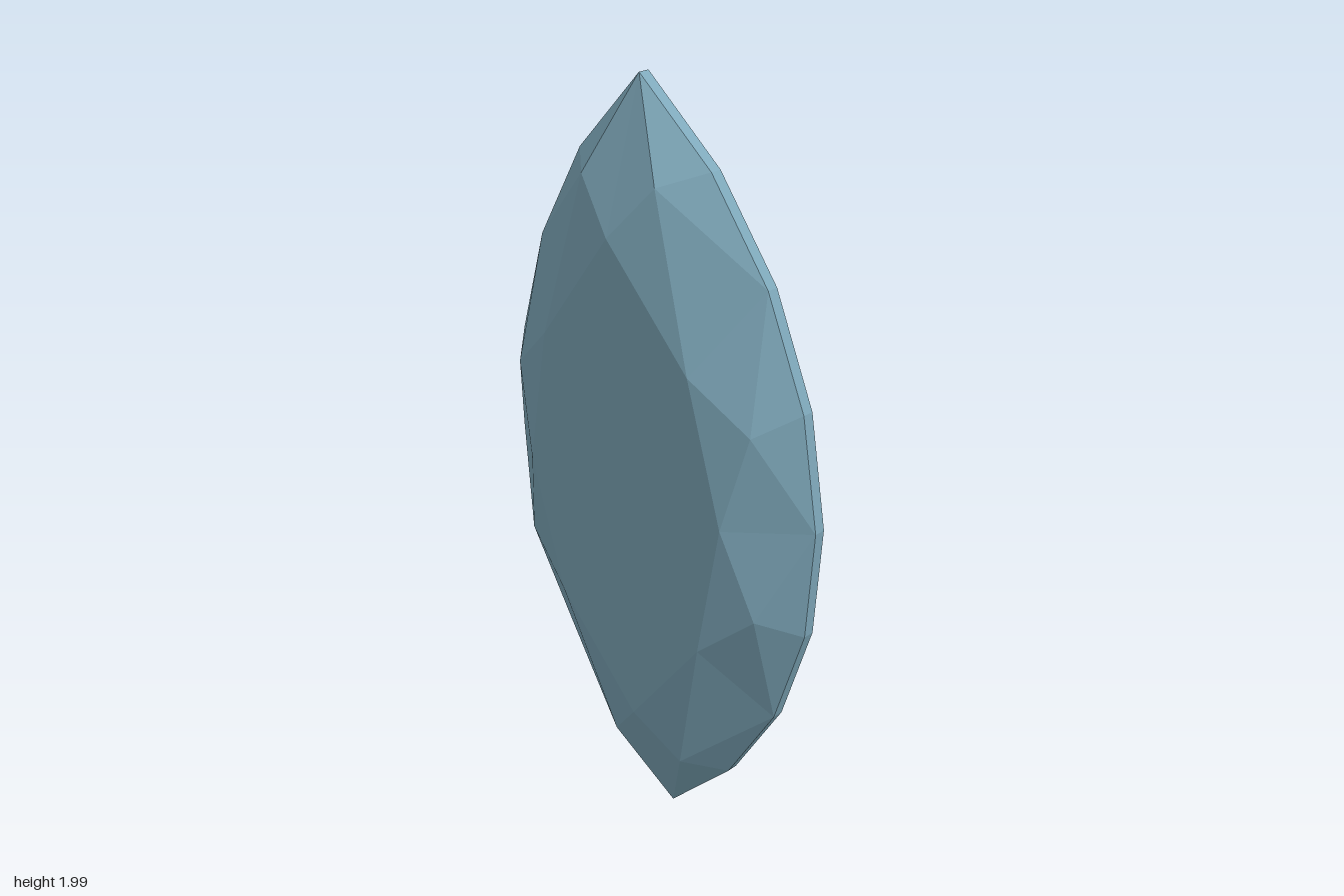
import * as THREE from 'three';

const N = 16;
const material = (flatShading) => new THREE.MeshStandardMaterial({ color: 0x7fa9bb, flatShading });

// Lens outline made of two mirrored arcs; points 0 and 8 are the tips.
function outline(i, sx, sy, z) {
  const j = (i + N) % N, side = j < 8 ? 1 : -1;
  const half = Math.asin(1 / 1.235), a = ((j % 8) - 4) * half / 4;
  const w = 1.235 * (Math.cos(a) - Math.cos(half)), l = 1.235 * Math.sin(a);
  return new THREE.Vector3(side * w * sx, side * l * sy, z);
}
const lower = (j) => outline(j, 1, 1, -0.016);
const upper = (j) => outline(j, 1, 1, 0.014);
const table = (j) => outline(j, 0.645, 0.645, 0.145);
function middle(j) { // crown vertices between girdle and table, at odd j
  const r = (j + N) % 8;
  return r === 1 || r === 7 ? outline(j, 0.56, 0.96, 0.1) : outline(j, 0.83, 0.83, 0.105);
}

function facets(name, points) {
  const g = new THREE.BufferGeometry().setFromPoints(points);
  g.computeVertexNormals();
  const mesh = new THREE.Mesh(g, material(true));
  mesh.name = name;
  return mesh;
}

// Smooth underside: girdle ring, inner ring, point.
function pavilion() {
  const points = [], index = [];
  for (let j = 0; j < N; j++) points.push(lower(j));
  for (let j = 0; j < N; j++) points.push(outline(j, 0.255, 0.255, -0.335));
  points.push(new THREE.Vector3(0, 0, -0.405));
  for (let j = 0; j < N; j++) {
    const k = (j + 1) % N;
    index.push(j, N + j, k, k, N + j, N + k, N + j, 2 * N, N + k);
  }
  const g = new THREE.BufferGeometry().setFromPoints(points);
  g.setIndex(index);
  g.computeVertexNormals();
  const mesh = new THREE.Mesh(g, material(false));
  mesh.name = 'pavilion';
  return mesh;
}

export function createModel() {
  const girdle = [], crown = [], top = [];
  for (let j = 0; j < N; j++) {
    girdle.push(lower(j), lower(j + 1), upper(j + 1), lower(j), upper(j + 1), upper(j));
    if (j % 2) {
      // Two girdle facets and one star facet
      crown.push(upper(j - 1), upper(j), middle(j), upper(j), upper(j + 1), middle(j));
      crown.push(middle(j), table(j + 1), table(j - 1));
      top.push(new THREE.Vector3(0, 0, 0.145), table(j - 1), table(j + 1));
    } else {
      // Kite facet
      crown.push(upper(j), middle(j + 1), table(j), upper(j), table(j), middle(j - 1));
    }
  }

  const gem = new THREE.Group();
  gem.name = 'gem';
  gem.add(facets('girdle', girdle), facets('crown', crown), facets('table', top), pavilion());

  // Tilt the stone: width, length and table directions
  const length = new THREE.Vector3(-0.035, 0.996, 0.085).normalize();
  const normal = new THREE.Vector3(0.766, -0.028, 0.643).cross(length).normalize();
  const width = length.clone().cross(normal);
  gem.quaternion.setFromRotationMatrix(new THREE.Matrix4().makeBasis(width, length, normal));
  gem.position.set(0, 1, -0.005);

  const model = new THREE.Group();
  model.name = 'marquiseGem';
  model.add(gem);
  return model;
}
